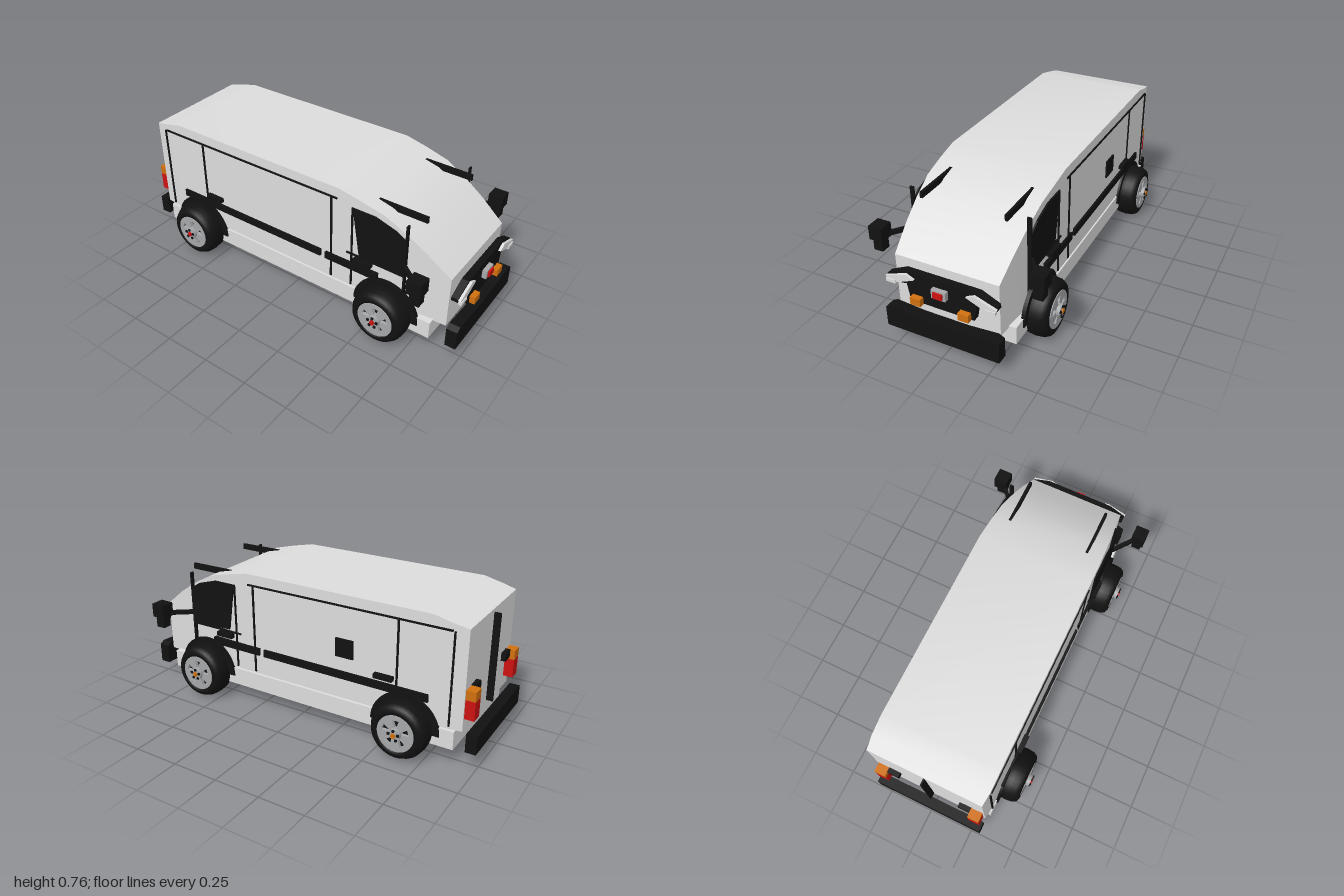
import * as THREE from 'three';
import { toCreasedNormals } from 'three/addons/utils/BufferGeometryUtils.js';

const mat = (name, color) => {
  const m = new THREE.MeshStandardMaterial({ color });
  m.name = name;
  return m;
};

export function createModel() {
  const van = new THREE.Group();
  van.name = 'van';
  const paint = mat('whitePaint', 0xdcdcdc);
  const black = mat('blackTrim', 0x111111);
  const silver = mat('silver', 0xa4a6a8);
  const red = mat('red', 0xcc1111);
  const orange = mat('orange', 0xd0700f);

  const add = (name, geo, m, parent = van) => {
    const mesh = new THREE.Mesh(geo, m);
    mesh.name = name;
    parent.add(mesh);
    return mesh;
  };
  // Box given by its limits on each axis
  const box = (name, m, x0, x1, y0, y1, z0, z1) =>
    add(name, new THREE.BoxGeometry(x1 - x0, y1 - y0, Math.abs(z1 - z0))
      .translate((x0 + x1) / 2, (y0 + y1) / 2, (z0 + z1) / 2), m);
  const extrude = (pts, depth) => new THREE.ExtrudeGeometry(
    new THREE.Shape(pts.map(([a, b]) => new THREE.Vector2(a, b))), { depth, bevelEnabled: false });
  // Plate facing along x, outline in (z, y)
  const plateX = (name, m, pts, x0, x1) =>
    add(name, extrude(pts.map(([z, y]) => [-z, y]), x1 - x0).rotateY(Math.PI / 2).translate(x0, 0, 0), m);
  // Plate on the side s, outline in (x, y)
  const plateZ = (name, m, pts, s, z0, z1) =>
    add(name, extrude(pts, z1 - z0).translate(0, 0, s > 0 ? z0 : -z1), m);

  // Body shell: stations of x, bottom, top, half width
  const stations = [
    [-0.925, 0.2, 0.72, 0.306], [-0.85, 0.2, 0.737, 0.315], [-0.75, 0.2, 0.76, 0.316],
    [0.31, 0.2, 0.76, 0.316], [0.44, 0.197, 0.732, 0.313], [0.56, 0.193, 0.702, 0.307],
    [0.68, 0.19, 0.638, 0.298], [0.79, 0.185, 0.565, 0.288], [0.915, 0.18, 0.465, 0.275],
  ];
  const rings = stations.map(([x, b, t, w]) => [[x, b, w], [x, b, -w], [x, t, -w], [x, t, w]]);
  const pos = [];
  const quad = (a, b, c, d) => pos.push(...a, ...b, ...c, ...a, ...c, ...d);
  for (let i = 0; i < rings.length - 1; i++)
    for (let j = 0; j < 4; j++) {
      const k = (j + 1) % 4;
      quad(rings[i][j], rings[i][k], rings[i + 1][k], rings[i + 1][j]);
    }
  quad(...[...rings[0]].reverse());
  quad(...rings[rings.length - 1]);
  const shell = new THREE.BufferGeometry();
  shell.setAttribute('position', new THREE.Float32BufferAttribute(pos, 3));
  add('body', toCreasedNormals(shell, 0.5), paint);
  box('sill', paint, -0.89, 0.85, 0.095, 0.192, -0.32, 0.32);

  // Bumpers
  plateX('frontBumper', black, [[-0.305, 0.088], [0.305, 0.088], [0.305, 0.195], [0.275, 0.21],
    [0.12, 0.198], [-0.12, 0.198], [-0.275, 0.21], [-0.305, 0.195]], 0.932, 0.99);
  box('rearBumper', black, -1, -0.945, 0.095, 0.195, -0.305, 0.305);
  box('rearDoorSeam', black, -0.96, -0.925, 0.23, 0.7, -0.004, 0.004);

  // Grille and centre plate
  const half = [[0.17, 0.27], [0.185, 0.36], [0.25, 0.35], [0.29, 0.365], [0.29, 0.385], [0.195, 0.43]];
  plateX('grille', black, [...half, ...half.map(([z, y]) => [-z, y]).reverse()], 0.93, 0.966);
  box('grillePlate', silver, 0.966, 0.99, 0.345, 0.391, -0.038, 0.038);
  box('grillePlateCentre', red, 0.99, 1, 0.353, 0.384, -0.024, 0.024);

  for (const s of [1, -1]) {
    // Lamps
    plateX('headlight', paint, [[0.293, 0.38], [0.18, 0.42], [0.137, 0.4], [0.25, 0.352]]
      .map(([z, y]) => [z * s, y]), 0.966, 0.98);
    box('sideLamp', paint, 0.966, 0.985, 0.353, 0.371, s * 0.235, s * 0.288);
    box('frontIndicator', orange, 0.966, 0.995, 0.27, 0.31, s * 0.1, s * 0.155);
    box('tailLight', red, -0.975, -0.925, 0.265, 0.365, s * 0.235, s * 0.297);
    box('rearIndicator', orange, -0.975, -0.925, 0.365, 0.415, s * 0.235, s * 0.297);
    box('rearHinge', black, -0.95, -0.925, 0.375, 0.42, s * 0.17, s * 0.235);

    // Door seams, drawn as slim bars
    const seam = (x0, x1, y0, y1) => box('doorSeam', black, x0, x1, y0, y1, s * 0.3, s * 0.322);
    seam(-0.85, 0.3, 0.697, 0.706);
    seam(-0.864, -0.856, 0.215, 0.7);
    seam(-0.586, -0.576, 0.355, 0.7);
    seam(0.262, 0.272, 0.21, 0.7);
    seam(0.386, 0.394, 0.21, 0.68);
    seam(0.686, 0.694, 0.25, 0.7);
    seam(0.36, 0.69, 0.402, 0.41);

    // Side rubbing strips and handles
    box('sideStrip', black, -0.75, 0.205, 0.313, 0.353, s * 0.31, s * 0.329);
    box('sideStrip', black, 0.235, 0.545, 0.313, 0.353, s * 0.31, s * 0.329);
    box('doorHandle', black, -0.565, -0.463, 0.374, 0.398, s * 0.31, s * 0.342);
    box('doorHandle', black, 0.41, 0.51, 0.374, 0.398, s * 0.305, s * 0.342);

    // Side window
    plateZ('sideWindow', black, [[0.435, 0.42], [0.69, 0.41], [0.69, 0.615], [0.63, 0.65],
      [0.52, 0.683], [0.385, 0.683], [0.4, 0.645]], s, 0.314, 0.323);

    // Roof edge blade
    plateZ('roofBlade', black, [[0.52, 0.688], [0.745, 0.688], [0.745, 0.72], [0.47, 0.722]], s, 0.216, 0.23);

    // Mirrors
    box('mirror', black, 0.78, 0.858, 0.455, 0.53, s * 0.39, s * 0.465);
    box('lowerMirror', black, 0.795, 0.847, 0.393, 0.445, s * 0.402, s * 0.453);
    const arm = add('mirrorArm', new THREE.BoxGeometry(0.15, 0.022, 0.02), black);
    arm.position.set(0.735, 0.47, s * 0.356);
    arm.rotation.y = -s * 0.66;

    // Wheel arches and wheels
    for (const x of [-0.633, 0.6]) {
      const arch = new THREE.Shape();
      arch.absarc(x, 0.145, 0.185, 0, Math.PI, false);
      add('wheelArch', new THREE.ExtrudeGeometry(arch, { depth: 0.02, bevelEnabled: false, curveSegments: 16 })
        .translate(0, 0, s > 0 ? 0.308 : -0.328), black);
      const wheel = makeWheel(s > 0 ? red : orange);
      wheel.position.set(x, 0.153, s * 0.35);
      if (s < 0) wheel.rotation.y = Math.PI;
      van.add(wheel);
    }
  }
  // Filler flap on the right side
  box('fillerFlap', black, -0.34, -0.24, 0.43, 0.53, -0.31, -0.325);

  function makeWheel(capMat) {
    const wheel = new THREE.Group();
    wheel.name = 'wheel';
    const profile = [[0.09, -0.06], [0.115, -0.07], [0.135, -0.062], [0.147, -0.04], [0.151, 0],
      [0.147, 0.04], [0.135, 0.062], [0.115, 0.07], [0.098, 0.066], [0.09, 0.04]];
    add('tyre', new THREE.LatheGeometry(profile.map(([r, z]) => new THREE.Vector2(r, z)), 32)
      .rotateX(Math.PI / 2), black, wheel);
    add('wheelBack', new THREE.CylinderGeometry(0.094, 0.094, 0.1, 32)
      .rotateX(Math.PI / 2), black, wheel);
    // Rim with five openings
    const rim = new THREE.Shape().absarc(0, 0, 0.098, 0, Math.PI * 2, false);
    for (let i = 0; i < 5; i++) {
      const a = Math.PI / 2 + i * Math.PI * 0.4;
      const p = (r, d) => new THREE.Vector2(r * Math.cos(a + d), r * Math.sin(a + d));
      rim.holes.push(new THREE.Path([p(0.034, -0.16), p(0.074, -0.24), p(0.074, 0.24), p(0.034, 0.16)]));
      // Wheel nuts
      const nut = add('wheelNut', new THREE.BoxGeometry(0.012, 0.012, 0.008), black, wheel);
      nut.position.set(0.026 * Math.cos(a), 0.026 * Math.sin(a), 0.092);
    }
    add('rim', new THREE.ExtrudeGeometry(rim, { depth: 0.018, bevelEnabled: false, curveSegments: 32 })
      .translate(0, 0, 0.052), silver, wheel);
    add('hub', new THREE.CylinderGeometry(0.033, 0.033, 0.024, 20)
      .rotateX(Math.PI / 2).translate(0, 0, 0.077), silver, wheel);
    add('hubCap', new THREE.CylinderGeometry(0.013, 0.013, 0.01, 16)
      .rotateX(Math.PI / 2).translate(0, 0, 0.092), capMat, wheel);
    return wheel;
  }
  return van;
}
